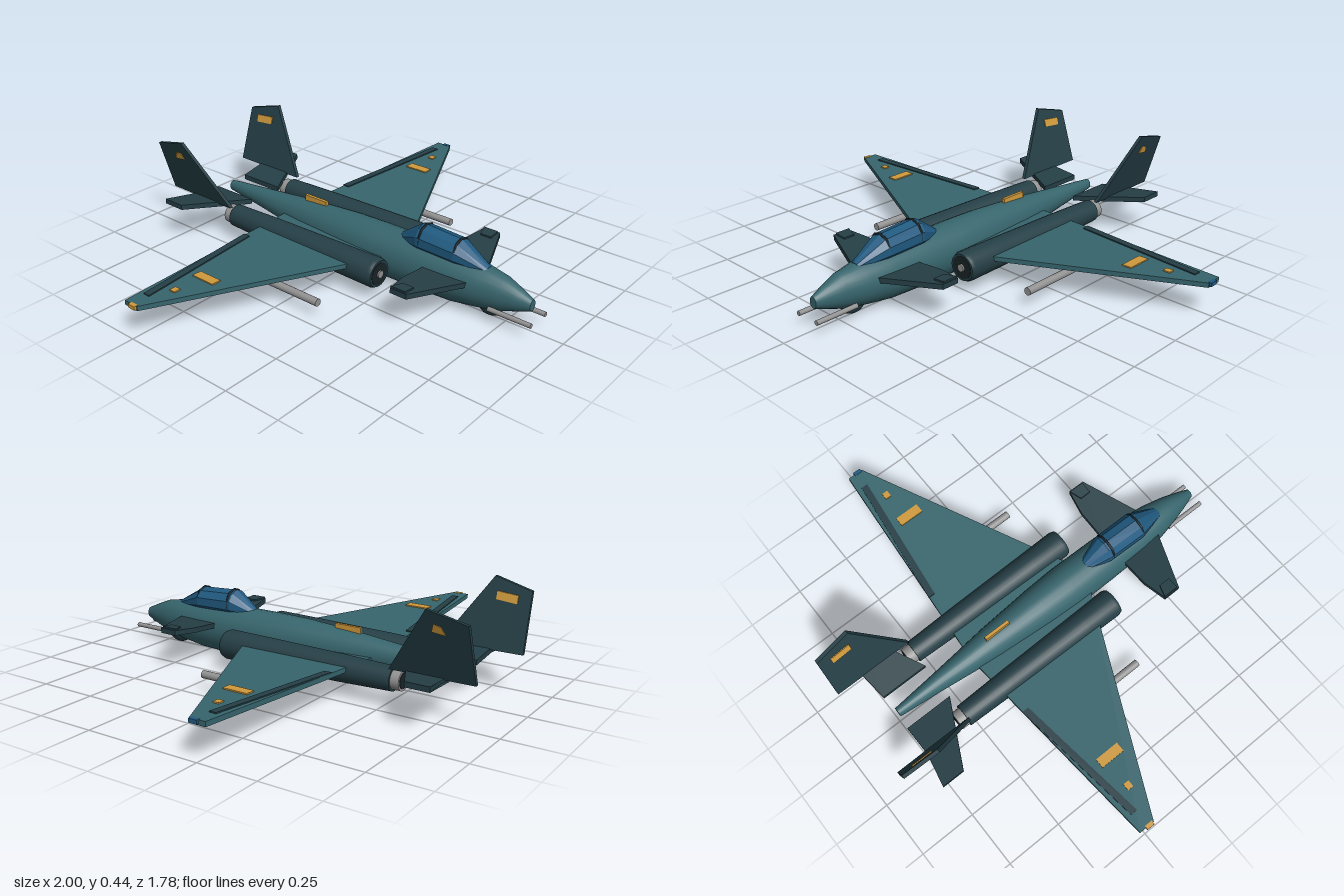
import * as THREE from 'three';

const paint = (name, color, extra = {}) =>
  Object.assign(new THREE.MeshStandardMaterial({ color, ...extra }), { name });

// Closed skin through elliptical sections [z, centreY, halfWidth, halfHeight], listed tail to nose
function loft(sections, sides, centreX = 0) {
  const pos = [], idx = [];
  for (const [z, cy, rx, ry] of sections) {
    for (let i = 0; i < sides; i++) {
      const a = (i / sides) * Math.PI * 2;
      pos.push(centreX + Math.sin(a) * rx, cy + Math.cos(a) * ry, z);
    }
  }
  for (let s = 0; s < sections.length - 1; s++) {
    for (let i = 0; i < sides; i++) {
      const a = s * sides + i, b = s * sides + (i + 1) % sides;
      idx.push(a, a + sides, b, b, a + sides, b + sides);
    }
  }
  // separate end caps keep their rims crisp
  [0, sections.length - 1].forEach((s, end) => {
    const start = pos.length / 3;
    pos.push(...pos.slice(s * sides * 3, (s + 1) * sides * 3));
    for (let i = 1; i < sides - 1; i++) {
      idx.push(start, start + (end ? i + 1 : i), start + (end ? i : i + 1));
    }
  });
  const g = new THREE.BufferGeometry();
  g.setAttribute('position', new THREE.Float32BufferAttribute(pos, 3));
  g.setIndex(idx);
  g.computeVertexNormals();
  return g;
}

// Flat plate: a convex outline pushed along an offset, with hard edges
function slab(outline, offset) {
  let p = outline.map((q) => new THREE.Vector3(...q));
  const o = new THREE.Vector3(...offset);
  const n = p[1].clone().sub(p[0]).cross(p[2].clone().sub(p[0]));
  if (n.dot(o) < 0) p = p.reverse();
  const q = p.map((v) => v.clone().add(o));
  const tri = [];
  for (let i = 0; i < p.length; i++) {
    const j = (i + 1) % p.length;
    if (i > 0 && j > 0) tri.push(q[0], q[i], q[j], p[0], p[j], p[i]);
    tri.push(p[i], p[j], q[j], p[i], q[j], q[i]);
  }
  const g = new THREE.BufferGeometry().setFromPoints(tri);
  g.computeVertexNormals();
  return g;
}

export function createModel() {
  const root = new THREE.Group();
  root.name = 'twinEngineJet';
  const teal = paint('teal', 0x37656d);
  const darkTeal = paint('darkTeal', 0x253f46);
  const glass = paint('canopyBlue', 0x205a80, { flatShading: true });
  const amber = paint('amber', 0xd09a3c);
  const steel = paint('steel', 0x939393);
  const black = paint('shadowBlack', 0x182327);

  const add = (name, geometry, material, x = 0, y = 0, z = 0) => {
    const m = new THREE.Mesh(geometry, material);
    m.name = name;
    m.position.set(x, y, z);
    root.add(m);
    return m;
  };
  const rod = (r, length, sides = 16) =>
    new THREE.CylinderGeometry(r, r, length, sides).rotateX(Math.PI / 2);

  // Fuselage
  add('fuselage', loft([
    [-0.74, 0.138, 0.02, 0.024], [-0.53, 0.134, 0.04, 0.048],
    [-0.25, 0.125, 0.07, 0.083], [0, 0.117, 0.09, 0.106],
    [0.15, 0.115, 0.097, 0.11], [0.35, 0.115, 0.095, 0.109],
    [0.52, 0.116, 0.09, 0.104], [0.64, 0.12, 0.079, 0.09],
    [0.74, 0.121, 0.056, 0.072], [0.81, 0.119, 0.036, 0.045],
    [0.86, 0.117, 0.019, 0.024],
  ], 24), teal);
  add('dorsalBeacon', new THREE.BoxGeometry(0.014, 0.035, 0.12), amber, 0, 0.213, -0.22);
  const chin = add('chinSensor', new THREE.SphereGeometry(1, 12, 8), darkTeal, 0, 0.045, 0.68);
  chin.scale.set(0.034, 0.037, 0.055);

  // Canopy and its two frames
  add('canopy', loft([
    [0.25, 0.205, 0.025, 0.02], [0.35, 0.235, 0.06, 0.062],
    [0.53, 0.23, 0.062, 0.056], [0.66, 0.195, 0.024, 0.014],
  ], 10), glass);
  for (const [z, top] of [[0.365, 0.296], [0.53, 0.286]]) {
    const frame = add('canopyFrame', new THREE.TorusGeometry(0.056, 0.005, 6, 10), black, 0, top - 0.055, z);
    frame.rotation.z = Math.PI / 2;
  }

  const wingTop = (x) => 0.134 + 0.022 * (Math.abs(x) - 0.08) / 0.91;

  for (const s of [1, -1]) {
    const side = s > 0 ? 'left' : 'right';
    const named = (part) => side + part;
    // Plate lying on the wing's upper skin
    const onWing = (part, outline, material, height = 0.006) => add(named(part),
      slab(outline.map(([x, z]) => [s * x, wingTop(x) - 0.001, z]), [0, height, 0]), material);
    const rect = (x0, x1, z0, z1) => [[x0, z0], [x1, z0], [x1, z1], [x0, z1]];

    // Main wing, flap and markings
    add(named('Wing'), slab([[0.05, 0.235], [0.99, -0.215], [0.99, -0.285], [0.05, -0.363]]
      .map(([x, z]) => [s * x, wingTop(x), z]), [0, -0.02, 0]), teal);
    onWing('Flap', [[0.32, -0.343], [0.915, -0.268], [0.915, -0.238], [0.32, -0.312]], darkTeal);
    onWing('WingPanel', rect(0.66, 0.702, -0.235, -0.125), amber);
    onWing('WingMarker', rect(0.805, 0.835, -0.215, -0.188), amber);
    add(named('TipLight'), new THREE.BoxGeometry(0.018, 0.016, 0.035),
      s > 0 ? glass : amber, s * 0.991, 0.149, -0.237);

    // Engine nacelle, intake and nozzle
    const ex = s * 0.176;
    add(named('Nacelle'), loft([
      [-0.535, 0.114, 0.049, 0.049], [-0.3, 0.113, 0.055, 0.056],
      [0.1, 0.112, 0.061, 0.062], [0.25, 0.112, 0.064, 0.063], [0.267, 0.112, 0.058, 0.056],
    ], 24, ex), darkTeal);
    add(named('Intake'), rod(0.048, 0.004, 24), black, ex, 0.112, 0.267);
    add(named('IntakeHub'), rod(0.016, 0.02), steel, ex, 0.112, 0.266);
    add(named('Nozzle'), rod(0.041, 0.045, 24), steel, ex, 0.114, -0.55);
    add(named('Exhaust'), rod(0.032, 0.004, 24), black, ex, 0.114, -0.572);

    // Foreplane
    add(named('Canard'), slab([[0.06, 0.615], [0.32, 0.508], [0.32, 0.432], [0.21, 0.41], [0.06, 0.41]]
      .map(([x, z]) => [s * x, 0.153 + 0.09 * (x - 0.06), z]), [0, -0.022, 0]), darkTeal);
    add(named('CanardTip'), slab([[0.262, 0.5], [0.315, 0.5], [0.315, 0.432], [0.262, 0.45]]
      .map(([x, z]) => [s * x, 0.152 + 0.09 * (x - 0.06), z]), [0, 0.008, 0]), darkTeal);

    // Tailplane
    add(named('Tailplane'), slab([[0.083, -0.535], [0.368, -0.678], [0.368, -0.78], [0.22, -0.75], [0.083, -0.75]]
      .map(([x, z]) => [s * x, 0.158 + 0.11 * (x - 0.083), z]), [0, -0.022, 0]), darkTeal);

    // Outward-canted fin with a marking on each face
    const onFin = (outline, shift) => outline.map(([y, z]) => [s * (0.22 + (y - 0.165) * 0.31 + shift), y, z]);
    add(named('Fin'), slab(onFin([[0.165, -0.53], [0.447, -0.72], [0.407, -0.882], [0.168, -0.887]], 0),
      [-s * 0.016, 0, 0]), darkTeal);
    add(named('FinMarkOuter'), slab(onFin([[0.36, -0.735], [0.392, -0.745], [0.385, -0.775], [0.353, -0.79]], 0),
      [s * 0.004, 0, 0]), amber);
    add(named('FinMarkInner'), slab(onFin([[0.36, -0.74], [0.392, -0.74], [0.385, -0.83], [0.353, -0.83]], -0.016),
      [-s * 0.004, 0, 0]), amber);

    // Nose gun and underwing missile
    add(named('Gun'), rod(0.01, 0.19, 12), steel, s * 0.053, 0.064, 0.795);
    add(named('Missile'), rod(0.016, 0.27), steel, s * 0.443, 0.07, 0.045);
  }
  return root;
}
